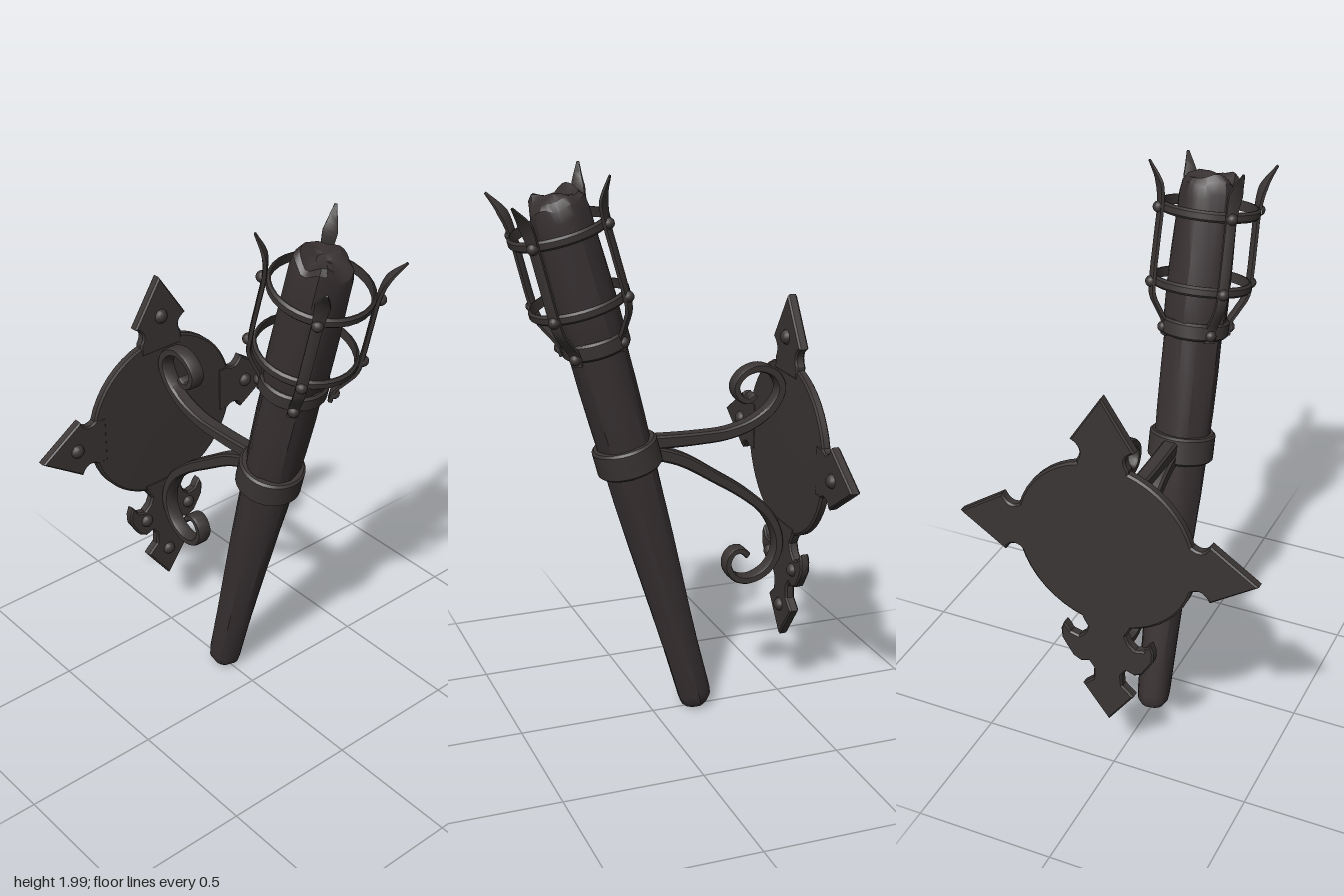
import * as THREE from 'three';
import { toCreasedNormals } from 'three/addons/utils/BufferGeometryUtils.js';

const V2 = (p) => new THREE.Vector2(p[0], p[1]);

export function createModel() {
  const root = new THREE.Group();
  root.name = 'wallTorch';
  const iron = new THREE.MeshStandardMaterial({ color: 0x3b3535 });
  iron.name = 'dark iron';
  const wood = new THREE.MeshStandardMaterial({ color: 0x383132 });
  wood.name = 'charred wood';

  const add = (parent, name, geo, mat, x = 0, y = 0, z = 0) => {
    const mesh = new THREE.Mesh(geo, mat);
    mesh.name = name;
    mesh.position.set(x, y, z);
    parent.add(mesh);
    return mesh;
  };
  const lathe = (pts, sides) => new THREE.LatheGeometry(pts.map(V2), sides);

  // Ring with a rectangular section and softened outer edges
  const band = (ri, ro, h) => {
    const b = Math.min(0.008, h / 4);
    return toCreasedNormals(lathe([[ri, -h / 2], [ro - b, -h / 2], [ro, -h / 2 + b],
      [ro, h / 2 - b], [ro - b, h / 2], [ri, h / 2], [ri, -h / 2]], 32), 0.6);
  };

  // Flat bar swept along a curve in the xy plane; width runs along z
  const ribbon = (pts, width, thick, steps = 48) => {
    const curve = new THREE.CatmullRomCurve3(pts.map(([x, y]) => new THREE.Vector3(x, y, 0)));
    const pos = [], idx = [];
    for (let i = 0; i <= steps; i++) {
      const t = i / steps, p = curve.getPointAt(t), d = curve.getTangentAt(t);
      const w = width(t) / 2, h = thick(t) / 2;
      for (const [a, b] of [[-1, -0.7], [-0.7, -1], [0.7, -1], [1, -0.7], [1, 0.7], [0.7, 1], [-0.7, 1], [-1, 0.7]])
        pos.push(p.x - d.y * h * a, p.y + d.x * h * a, w * b);
      if (i < steps) for (let k = 0; k < 8; k++) {
        const a = i * 8 + k, b = i * 8 + (k + 1) % 8;
        idx.push(a, b, a + 8, b, b + 8, a + 8);
      }
    }
    const e = steps * 8;
    for (let k = 1; k < 7; k++) idx.push(0, k + 1, k, e, e + k, e + k + 1);
    const geo = new THREE.BufferGeometry();
    geo.setAttribute('position', new THREE.Float32BufferAttribute(pos, 3));
    // Keep faces pointing outwards
    const n = new THREE.Vector3(), A = new THREE.Vector3(), B = new THREE.Vector3(), C = new THREE.Vector3();
    let volume = 0;
    for (let i = 0; i < idx.length; i += 3) {
      A.fromArray(pos, idx[i] * 3); B.fromArray(pos, idx[i + 1] * 3); C.fromArray(pos, idx[i + 2] * 3);
      volume += A.dot(n.crossVectors(B, C));
    }
    if (volume < 0) idx.reverse();
    geo.setIndex(idx);
    return toCreasedNormals(geo, 0.6);
  };

  // Domed rivet pointing along +z
  const rivetGeo = (r) => new THREE.SphereGeometry(r, 12, 5, 0, Math.PI * 2, 0, Math.PI / 2).rotateX(Math.PI / 2);

  // ---- Leaning torch ----
  const torch = new THREE.Group();
  torch.name = 'torch';
  torch.position.set(0, 0.02, -0.17);
  torch.rotation.x = THREE.MathUtils.degToRad(15);
  root.add(torch);

  // Wooden parts are lathed, then roughened with shallow lengthwise grooves
  const roughen = (geo, top) => {
    const p = geo.attributes.position;
    for (let i = 0; i < p.count; i++) {
      const x = p.getX(i), y = p.getY(i), z = p.getZ(i), a = Math.atan2(x, z);
      const k = 1 + 0.03 * Math.sin(5 * a + 3 * y) + 0.02 * Math.sin(9 * a - 5 * y);
      let dy = 0;
      if (y > top) dy = 0.016 * Math.sin(38 * x + 1) * Math.cos(34 * z) + 0.01 * Math.sin(60 * z + 25 * x);
      p.setXYZ(i, x * k, y + dy, z * k);
    }
    return toCreasedNormals(geo, 0.5);
  };
  add(torch, 'shaft', roughen(lathe([[0, -0.005], [0.042, 0], [0.056, 0.02], [0.06, 0.05], [0.064, 0.25],
    [0.069, 0.4], [0.075, 0.55], [0.082, 0.7], [0.088, 0.85], [0.092, 1], [0.097, 1.15], [0.1, 1.3], [0.1, 1.46]], 24), 9), wood);
  add(torch, 'head', roughen(lathe([[0, 1.43], [0.1, 1.43], [0.108, 1.47], [0.108, 1.58], [0.106, 1.7], [0.102, 1.82],
    [0.1, 1.91], [0.094, 1.95], [0.078, 1.972], [0.05, 1.97], [0.025, 1.96], [0, 1.965]], 28), 1.9), wood);

  add(torch, 'holderBand', band(0.085, 0.116, 0.1), iron, 0, 1.025, 0);
  add(torch, 'collar', band(0.09, 0.118, 0.06), iron, 0, 1.455, 0);

  // Cage of two hoops and four prongs
  const cage = new THREE.Group();
  cage.name = 'cage';
  cage.position.z = 0.016;
  torch.add(cage);
  const hoops = [1.605, 1.858];
  for (const y of hoops) add(cage, 'hoop', band(0.162, 0.174, 0.036), iron, 0, y, 0);
  const prongGeo = ribbon([[0.118, 1.42], [0.121, 1.465], [0.148, 1.51], [0.176, 1.56], [0.181, 1.63],
    [0.18, 1.75], [0.18, 1.87], [0.192, 1.94], [0.235, 2.012]],
  (t) => (t < 0.72 ? 0.036 : t < 0.86 ? 0.036 + (t - 0.72) * 0.1 : 0.05 - (t - 0.86) * 0.3),
  (t) => (t < 0.85 ? 0.016 : 0.016 - (t - 0.85) * 0.06), 36);
  for (let i = 0; i < 4; i++) {
    const side = new THREE.Group();
    side.name = 'prong';
    side.rotation.y = Math.PI / 4 + i * Math.PI / 2;
    cage.add(side);
    add(side, 'prongBar', prongGeo, iron);
    for (const [x, y] of [[0.124, 1.447], ...hoops.map((h) => [0.186, h])])
      add(side, 'prongRivet', rivetGeo(0.02), iron, x, y, 0).rotation.y = Math.PI / 2;
  }

  // ---- Wall plate ----
  const plate = new THREE.Group();
  plate.name = 'wallPlate';
  plate.position.set(0, 0.97, -0.517);
  root.add(plate);
  const disc = toCreasedNormals(lathe([[0, -0.018], [0.312, -0.018], [0.32, -0.012], [0.32, 0.009],
    [0.312, 0.015], [0.1, 0.019], [0, 0.021]], 48), 0.5);
  add(plate, 'disc', disc, iron).rotation.x = Math.PI / 2;

  const cut = (shape) => toCreasedNormals(new THREE.ExtrudeGeometry(shape, {
    depth: 0.024, bevelEnabled: true, bevelThickness: 0.006, bevelSize: 0.006, bevelOffset: -0.006, bevelSegments: 1, curveSegments: 8,
  }).translate(0, 0, -0.012), 0.5);

  // Arrowhead points on the sides and top
  const spike = new THREE.Shape();
  spike.moveTo(0.26, -0.09);
  spike.lineTo(0.305, -0.09);
  spike.quadraticCurveTo(0.345, -0.06, 0.37, -0.112);
  spike.lineTo(0.535, 0);
  spike.lineTo(0.37, 0.112);
  spike.quadraticCurveTo(0.345, 0.06, 0.305, 0.09);
  spike.lineTo(0.26, 0.09);
  const spikeGeo = cut(spike);
  for (let i = 0; i < 3; i++) {
    const point = add(plate, 'platePoint', spikeGeo, iron);
    point.rotation.z = i * Math.PI / 2;
    if (i === 1) point.scale.x = 1.047;
    add(point, 'plateRivet', rivetGeo(0.027), iron, 0.39, 0, 0.013);
  }

  // Horned tail below the disc
  const half = [[0.1, -0.28], [0.085, -0.32], [0.07, -0.345], [0.082, -0.375], [0.105, -0.395], [0.135, -0.388],
    [0.145, -0.37], [0.16, -0.355], [0.172, -0.385], [0.17, -0.425], [0.152, -0.455], [0.13, -0.49], [0.1, -0.505],
    [0.07, -0.495], [0.052, -0.52], [0.055, -0.565], [0.096, -0.602]];
  const tail = new THREE.Shape([...half, [0, -0.732], ...half.map(([x, y]) => [-x, y]).reverse()].map(V2));
  add(plate, 'plateTail', cut(tail), iron);
  for (const [x, y] of [[0.1, -0.435], [-0.1, -0.435], [0, -0.61]])
    add(plate, 'tailRivet', rivetGeo(0.026), iron, x, y, 0.013);

  // ---- Scrolled brackets between band and plate, points given as (z, y) ----
  const scrolls = {
    upperScroll: [[0.03, 1.05], [-0.15, 1.046], [-0.28, 1.052], [-0.38, 1.083], [-0.45, 1.136], [-0.478, 1.2],
      [-0.452, 1.254], [-0.392, 1.28], [-0.334, 1.263], [-0.304, 1.22], [-0.32, 1.178], [-0.352, 1.165], [-0.378, 1.182]],
    lowerScroll: [[0.03, 1.02], [-0.1, 0.975], [-0.233, 0.893], [-0.35, 0.813], [-0.435, 0.733], [-0.477, 0.645],
      [-0.477, 0.575], [-0.435, 0.51], [-0.366, 0.483], [-0.308, 0.502], [-0.282, 0.553], [-0.302, 0.596],
      [-0.334, 0.602], [-0.36, 0.58]],
  };
  for (const [name, pts] of Object.entries(scrolls))
    add(root, name, ribbon(pts, () => 0.054, (t) => 0.05 - 0.026 * t, 72), iron).rotation.y = -Math.PI / 2;

  return root;
}
